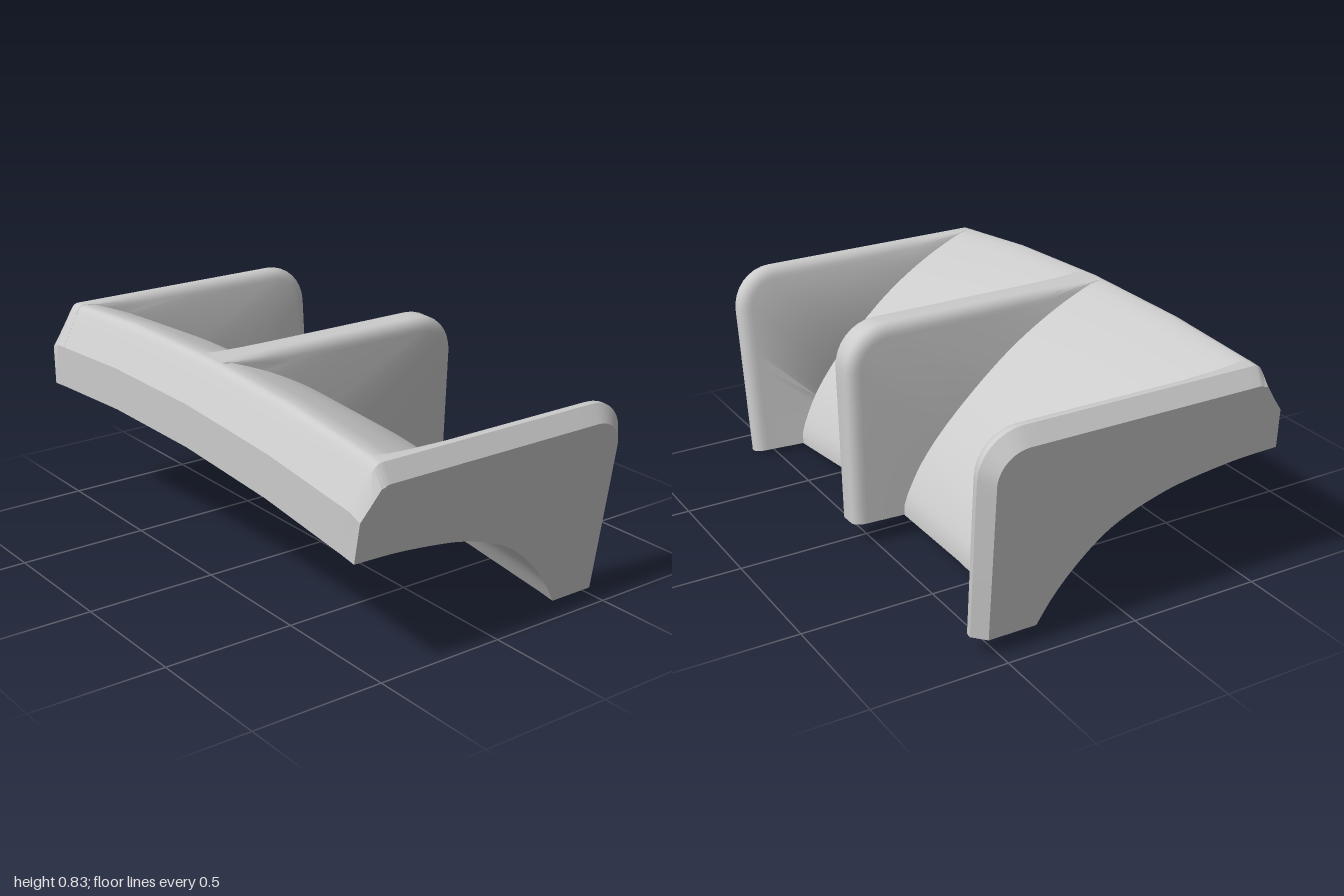
import * as THREE from 'three';
import { toCreasedNormals } from 'three/addons/utils/BufferGeometryUtils.js';

const R = 8.05, R0 = 7.7, TILT = 0.0348, END = 0.962;

// Bend the straight layout (x, height, distance along) into the arched one
function bend([x, h, s]) {
  const a = TILT + s / R;
  return new THREE.Vector3(x, -7.609 + (R0 + h) * Math.cos(a), -0.287 + (R0 + h) * Math.sin(a));
}

// Skin closed loops, each running anticlockwise about the direction of travel
function loft(sections, caps) {
  const rows = sections.map((loop) => loop.map(bend));
  const out = [];
  const tri = (a, b, c) => {
    const area = b.clone().sub(a).cross(c.clone().sub(a)).length();
    if (area > 1e-8) for (const p of [a, b, c]) out.push(p.x, p.y, p.z);
  };
  for (let i = 0; i < rows.length - 1; i++) {
    const n = rows[i].length;
    for (let j = 0; j < n; j++) {
      const k = (j + 1) % n;
      tri(rows[i][j], rows[i][k], rows[i + 1][j]);
      tri(rows[i][k], rows[i + 1][k], rows[i + 1][j]);
    }
  }
  if (caps) {
    const first = rows[0], last = rows[rows.length - 1];
    for (let j = 1; j < first.length - 1; j++) {
      tri(first[0], first[j + 1], first[j]);
      tri(last[0], last[j], last[j + 1]);
    }
  }
  const g = new THREE.BufferGeometry();
  g.setAttribute('position', new THREE.Float32BufferAttribute(out, 3));
  return toCreasedNormals(g, 0.5);
}

const spline = (pts) => new THREE.SplineCurve(pts.map(([x, y]) => new THREE.Vector2(x, y)));
const upperArc = spline([[-0.475, 0.745], [-0.42, 0.733], [-0.26, 0.667], [-0.1, 0.58],
  [0.05, 0.473], [0.2, 0.335], [0.3, 0.212], [0.36, 0.105], [0.386, 0.035], [0.386, 0]]);
const underArc = spline([[-0.585, 0.431], [-0.4, 0.424], [-0.2, 0.399], [-0.1, 0.376], [0, 0.342],
  [0.1, 0.291], [0.2, 0.207], [0.29, 0.104], [0.355, 0]]);
// Sloped left edge, rounded into the ridge
const ridge = [[-0.585, 0.593], [-0.55, 0.656], [-0.517, 0.717], [-0.508, 0.73],
  [-0.499, 0.739], [-0.489, 0.744]];

// Rib rim: level top, rounded corner, upright edge; n points inward
function rimPoints() {
  const pts = [], r = 0.16, right = 0.582, top = 0.745;
  for (let i = 0; i < 16; i++) {
    pts.push({ x: -0.475 + (right - r + 0.475) * i / 16, y: top, nx: 0, ny: -1 });
  }
  for (let i = 0; i <= 8; i++) {
    const a = Math.PI / 2 * i / 8, c = Math.cos(a), s = Math.sin(a);
    pts.push({ x: right - r + r * s, y: top - r + r * c, nx: -s, ny: -c });
  }
  for (let i = 1; i <= 10; i++) pts.push({ x: right, y: (top - r) * (1 - i / 10), nx: -1, ny: 0 });
  pts.forEach((p, i) => {
    const j = upperArc.getPointAt(i / (pts.length - 1));
    p.u = i / (pts.length - 1);
    p.jx = j.x - (i ? 0.01 : 0);
    p.jy = Math.max(0, j.y - (i ? 0.01 : 0));
    p.dist = Math.hypot(p.x - p.jx, p.y - p.jy);
    p.depth = Math.min(0.05, 0.8 * Math.max(0, (p.jx - p.x) * p.nx + (p.jy - p.y) * p.ny));
  });
  return pts;
}

// Half section from the foot of a rib, around its rounded rim, to near the middle
function roundedSide(p, w, flat, foot) {
  const side = [[p.jx, p.jy, -foot]];
  for (let k = 0; k <= 5; k++) {
    const a = Math.PI / 2 * k / 5;
    const d = p.depth * (1 - Math.sin(a));
    side.push([p.x + p.nx * d, p.y + p.ny * d, -(flat + (w - flat) * Math.cos(a))]);
  }
  return side;
}

function middleRib() {
  return loft(rimPoints().map((p) => {
    const half = roundedSide(p, 0.063, 0.028, 0.063 + 0.05 * p.dist);
    return [...half, ...half.map(([x, y, s]) => [x, y, -s]).reverse()];
  }), true);
}

// End rib: rounded inside, chamfered flat plate outside that closes the shell
function endRib(sign) {
  const slant = ridge.map(([x, y], i) => ({
    x, y, jx: x, jy: y, nx: 0.3 * (1 - i / 6), ny: -1, u: 0, dist: 0, depth: 0,
    chamfer: Math.min(0.055, 0.015 + 0.011 * i),
  }));
  const pts = [...slant, ...rimPoints()];
  return loft(pts.map((p, i) => {
    const a = underArc.getPointAt(i / (pts.length - 1));
    const c = p.chamfer ?? 0.045 - 0.01 * p.ny;
    const inner = roundedSide(p, 0.05, 0.012, 0.05 + 0.05 * p.dist + 0.012 * p.u)
      .map(([x, y, s]) => [x, y, END - 0.045 + s]);
    const loop = [
      [a.x, a.y, END - 0.095], ...inner,
      [p.x, p.y, END - 0.045],
      [p.x + p.nx * c, p.y + p.ny * c, END],
      [a.x, a.y, END],
    ];
    return sign > 0 ? loop : loop.map(([x, y, s]) => [x, y, -s]).reverse();
  }), true);
}

// Arched shell between the end ribs
function shell() {
  const profile = [
    ...underArc.getSpacedPoints(28).map((p) => [p.x, p.y]),
    ...upperArc.getSpacedPoints(28).map((p) => [p.x, p.y]).reverse(),
    ...[...ridge].reverse(),
  ];
  const stations = [-0.9, -0.48, 0, 0.48, 0.9];
  return loft(stations.map((s) => profile.map(([x, y]) => [x, y, s])), false);
}

export function createModel() {
  const group = new THREE.Group();
  group.name = 'ribbedArch';
  const material = new THREE.MeshStandardMaterial({ color: 0xcccccc });
  const add = (name, geometry) => {
    const mesh = new THREE.Mesh(geometry, material);
    mesh.name = name;
    group.add(mesh);
  };
  add('archedShell', shell());
  add('middleRib', middleRib());
  add('frontEndRib', endRib(1));
  add('backEndRib', endRib(-1));
  return group;
}
